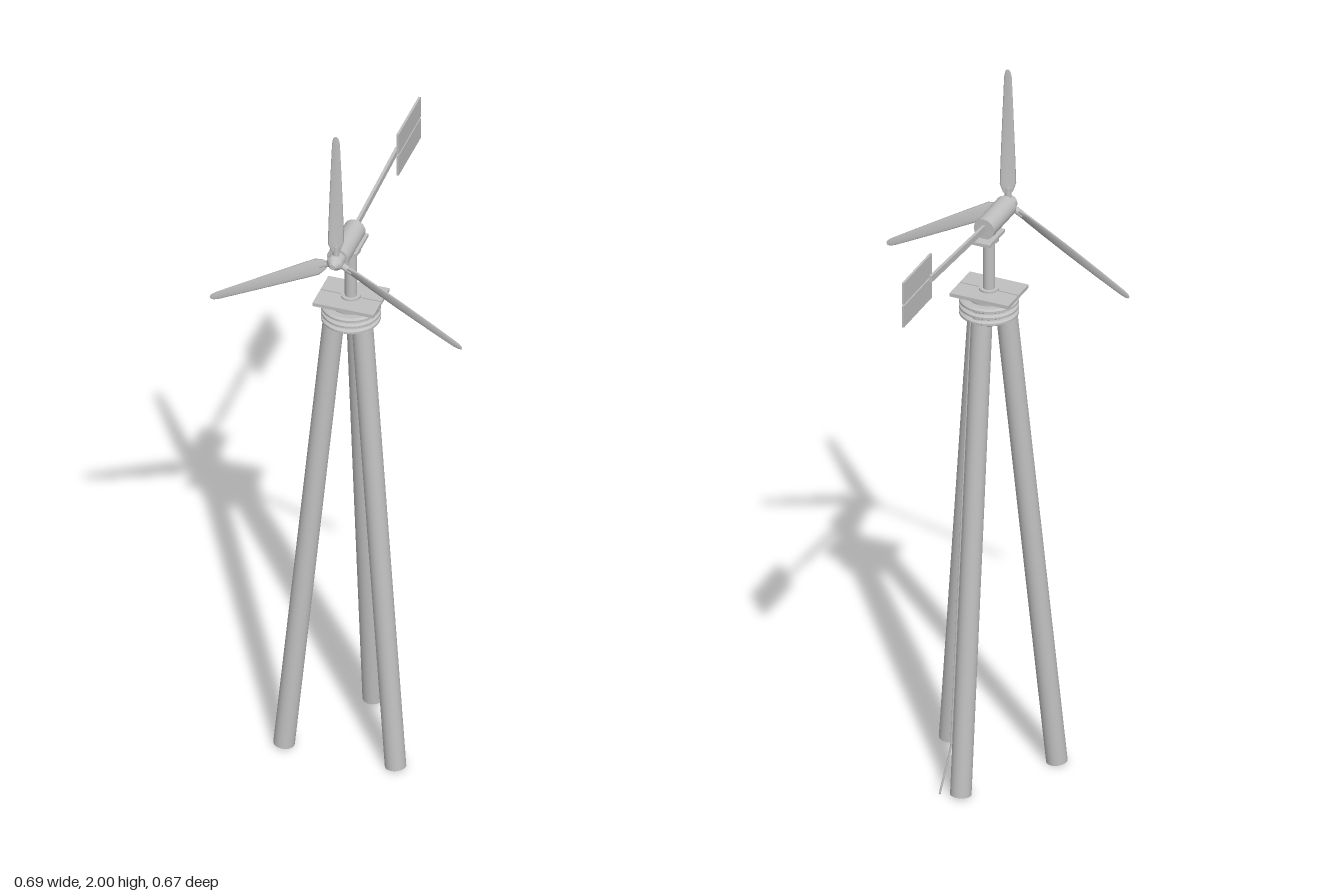
import * as THREE from 'three';
import { toCreasedNormals } from 'three/addons/utils/BufferGeometryUtils.js';

const AX = 0.004, AZ = 0.184;        // tower axis
const HUB_Y = 1.603, ROTOR_Z = 0.302;

export function createModel() {
  const model = new THREE.Group();
  model.name = 'windTurbine';
  const grey = new THREE.MeshStandardMaterial({ color: 0xc0c0c0 });
  grey.name = 'lightGrey';

  const add = (name, geometry, x = 0, y = 0, z = 0, parent = model) => {
    const mesh = new THREE.Mesh(geometry, grey);
    mesh.name = name;
    mesh.position.set(x, y, z);
    parent.add(mesh);
    return mesh;
  };
  const box = (name, w, h, d, x, y, z) => add(name, new THREE.BoxGeometry(w, h, d), x, y, z);
  // Cylinder running between two points
  const rod = (name, a, b, r, sides = 20) => {
    const dir = b.clone().sub(a);
    const mesh = add(name, new THREE.CylinderGeometry(r, r, dir.length(), sides));
    mesh.position.copy(a).add(b).multiplyScalar(0.5);
    mesh.quaternion.setFromUnitVectors(new THREE.Vector3(0, 1, 0), dir.normalize());
    return mesh;
  };
  const V = (x, y, z) => new THREE.Vector3(x, y, z);

  // Tripod legs: one at the back, two at the front
  ['backLeg', 'leftLeg', 'rightLeg'].forEach((name, i) => {
    const a = -Math.PI / 2 + (i * Math.PI * 2) / 3 * -1;
    const at = (r, y) => V(AX + Math.cos(a) * r, y, AZ + Math.sin(a) * r);
    rod(name, at(0.176, 0.003), at(0.042, 1.375), 0.028, 24);
  });

  // Cable down the back leg, kicked out at the foot
  const cable = new THREE.CurvePath();
  const pts = [V(0.037, 1.35, 0.142), V(0.037, 0.13, 0.02), V(0.054, 0.003, -0.014)];
  cable.add(new THREE.LineCurve3(pts[0], pts[1]));
  cable.add(new THREE.LineCurve3(pts[1], pts[2]));
  add('cable', new THREE.TubeGeometry(cable, 40, 0.0028, 6));

  // Ribbed collar holding the leg tops
  const profile = [[0, 1.34]];
  for (let i = 0; i < 3; i++) {
    const y = 1.34 + i * 0.018;
    profile.push([0.072, y], [0.078, y + 0.004], [0.078, y + 0.01], [0.072, y + 0.014]);
    if (i < 2) profile.push([0.066, y + 0.014], [0.066, y + 0.018]);
  }
  profile.push([0.056, 1.39], [0.056, 1.402], [0, 1.402]);
  const collar = new THREE.LatheGeometry(profile.map(p => new THREE.Vector2(...p)), 32);
  add('collar', toCreasedNormals(collar, 0.5), AX, 0, AZ);

  // Two-piece deck on the collar
  for (const s of [-1, 1]) box('deckPlate', 0.167, 0.01, 0.061, AX, 1.406, AZ + s * 0.0325);

  // Mast with base flange, top flange and bearing plate
  rod('mast', V(AX, 1.4, AZ), V(AX, 1.575, AZ), 0.016);
  rod('mastBase', V(AX, 1.408, AZ), V(AX, 1.416, AZ), 0.026);
  rod('mastFlange', V(AX, 1.556, AZ), V(AX, 1.566, AZ), 0.026);
  box('bearingPlate', 0.056, 0.009, 0.097, AX, 1.571, 0.174);

  // Generator housing
  rod('generator', V(AX, HUB_Y, 0.152), V(AX, HUB_Y, 0.29), 0.029, 28);

  // Rotor: hub, nose cone and three twisted blades
  const rotor = new THREE.Group();
  rotor.name = 'rotor';
  rotor.position.set(AX, HUB_Y, ROTOR_Z);
  model.add(rotor);
  const nose = new THREE.LatheGeometry([[0, -0.014], [0.022, -0.014], [0.022, 0.011],
    [0.008, 0.03], [0, 0.03]].map(p => new THREE.Vector2(...p)), 20);
  nose.rotateX(Math.PI / 2);
  add('hub', toCreasedNormals(nose, 0.5), 0, 0, 0, rotor);

  // Stations along a blade: radius, chord, thickness, twist
  const stations = [[0.035, 0.026, 0.012, 0.6], [0.06, 0.043, 0.01, 0.55], [0.12, 0.039, 0.008, 0.4],
    [0.2, 0.034, 0.006, 0.25], [0.3, 0.027, 0.005, 0.15], [0.375, 0.021, 0.004, 0.1],
    [0.39, 0.016, 0.003, 0.1], [0.397, 0.007, 0.002, 0.1]];
  const n = stations.length - 1;
  const bladeShape = new THREE.CylinderGeometry(1, 1, 1, 12, n);
  const pos = bladeShape.attributes.position;
  for (let i = 0; i < pos.count; i++) {
    const [r, chord, thick, twist] = stations[Math.round((pos.getY(i) + 0.5) * n)];
    const x = pos.getX(i) * chord / 2, z = pos.getZ(i) * thick / 2;
    pos.setXYZ(i, x * Math.cos(twist) + z * Math.sin(twist), r,
      z * Math.cos(twist) - x * Math.sin(twist));
  }
  bladeShape.computeVertexNormals();
  for (let i = 0; i < 3; i++) {
    const arm = new THREE.Group();
    arm.name = 'bladeArm';
    arm.rotation.z = (i * Math.PI * 2) / 3;
    rotor.add(arm);
    add('blade', bladeShape, 0, 0, 0, arm);
    add('bladeRoot', new THREE.CylinderGeometry(0.009, 0.009, 0.04, 12), 0, 0.03, 0, arm);
  }

  // Tail boom, rising slightly to the back
  const boom = box('tailBoom', 0.008, 0.018, 0.335, AX, 1.616, -0.013);
  boom.rotation.x = 0.06;

  // Tail vane in two panels
  for (const s of [-1, 1]) box('vanePanel', 0.006, 0.063, 0.175, 0.0125, 1.625 + s * 0.034, -0.247);

  return model;
}
